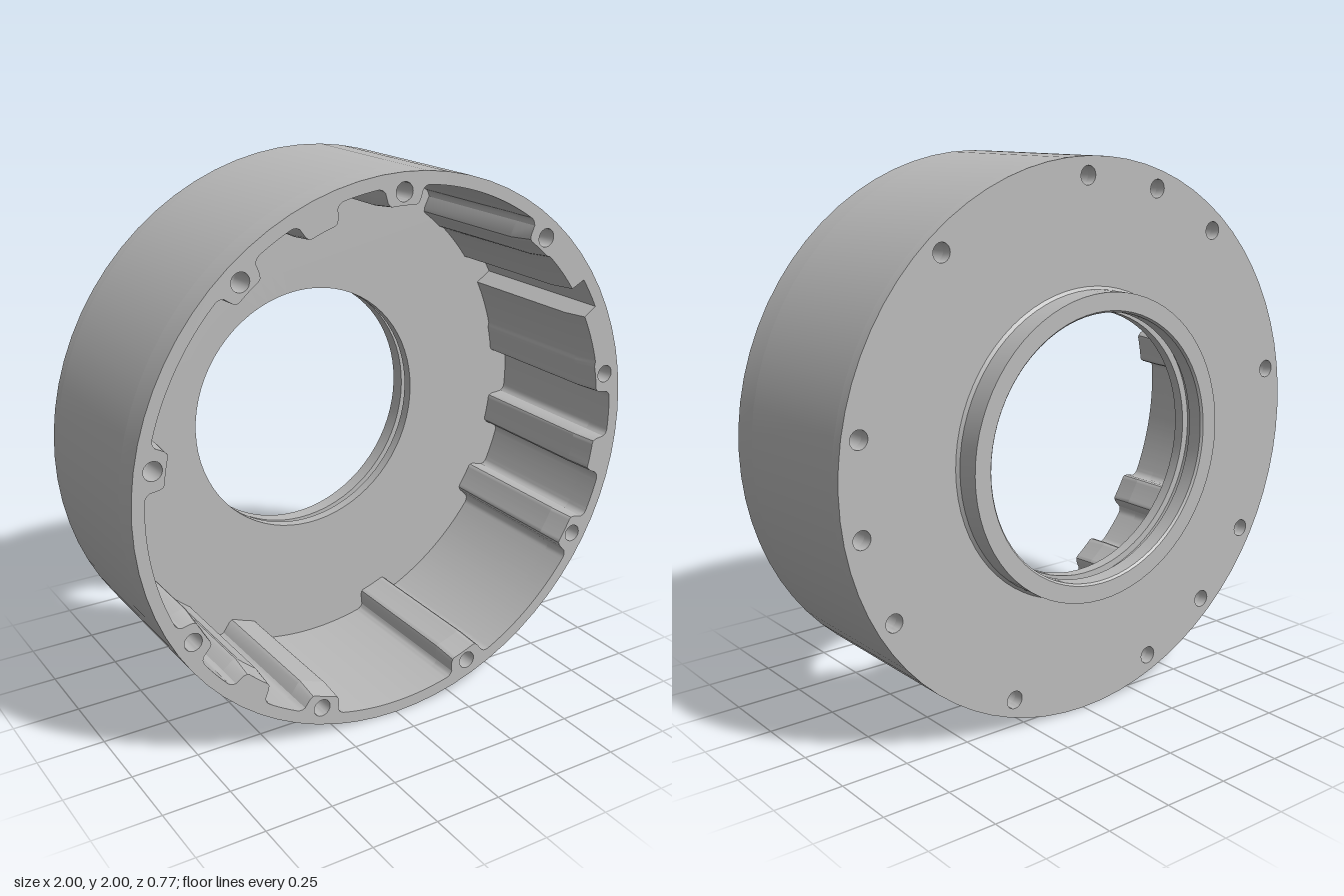
import * as THREE from 'three';
import { toCreasedNormals } from 'three/addons/utils/BufferGeometryUtils.js';

const RAD = Math.PI / 180;
const BACK = -0.29, FLOOR = -0.25, TAPER = 0.285, FRONT = 0.385;
const throughAngles = Array.from({ length: 9 }, (_, k) => 90 + 40 * k);
const blindAngles = [110, 230, 350];
const tabAngles = [...throughAngles, ...blindAngles];

const circle = (r, n, x = 0, y = 0) => Array.from({ length: n }, (_, i) => {
  const a = (i / n) * Math.PI * 2;
  return new THREE.Vector2(x + r * Math.cos(a), y + r * Math.sin(a));
});

const screwHoles = (angles) => angles.map((deg) =>
  circle(0.033, 20, 0.935 * Math.cos(deg * RAD), 0.935 * Math.sin(deg * RAD)));

// Inner wall radius at an angle: thin wall, filleted ribs, thick arc with a pocket
function innerRadius(deg) {
  let r = 0.955;
  if ((deg >= 10 && deg <= 26.5) || (deg >= 35 && deg <= 50)) r = 0.887;
  const steps = [[3, 0.88], [3.5, 0.883], [4, 0.895], [4.5, 0.94], [5, 0.949], [5.5, 0.953]];
  for (const tab of tabAngles) {
    const d = Math.abs(((deg - tab + 540) % 360) - 180);
    const step = steps.find(([limit]) => d <= limit + 0.01);
    if (step) r = Math.min(r, step[1]);
  }
  return r;
}

const innerContour = Array.from({ length: 720 }, (_, i) => {
  const deg = i / 2, r = innerRadius(deg);
  return new THREE.Vector2(r * Math.cos(deg * RAD), r * Math.sin(deg * RAD));
});

// Round slab between two depths, pierced by the given outlines
function slab(holes, z0, z1) {
  const shape = new THREE.Shape(circle(1, 72));
  holes.forEach((h) => shape.holes.push(new THREE.Path(h)));
  const geo = new THREE.ExtrudeGeometry(shape, { depth: z1 - z0, bevelEnabled: false });
  return geo.translate(0, 0, z0);
}

export function createModel() {
  const metal = new THREE.MeshStandardMaterial({ color: 0xbababa });
  metal.name = 'grey metal';
  const group = new THREE.Group();
  group.name = 'ringHousing';

  const add = (name, geo) => {
    const mesh = new THREE.Mesh(toCreasedNormals(geo, 0.5), metal);
    mesh.name = name;
    mesh.position.y = 1;
    group.add(mesh);
  };

  // Back plate with all screw holes
  add('backPlate', slab([circle(0.56, 72), ...screwHoles(tabAngles)], BACK, FLOOR));

  // Ribbed barrel wall
  add('barrelWall', slab([innerContour, ...screwHoles(tabAngles)], FLOOR, TAPER));

  // Front rim: rib tips lean outwards towards the opening, blind ribs are closed
  const rim = slab([innerContour, ...screwHoles(throughAngles)], TAPER, FRONT);
  const p = rim.attributes.position;
  for (let i = 0; i < p.count; i++) {
    const x = p.getX(i), y = p.getY(i);
    if (p.getZ(i) > FRONT - 0.01 && Math.hypot(x, y) < 0.9) p.setXY(i, x * 1.012, y * 1.012);
  }
  add('frontRim', rim);

  // Hub collar with a grooved bore
  const profile = [
    [0.55, -0.385], [0.55, -0.3], [0.56, -0.29], [0.56, FLOOR], [0.475, FLOOR],
    [0.475, -0.29], [0.5, -0.29], [0.5, -0.32], [0.48, -0.32], [0.48, -0.377],
    [0.487, -0.385], [0.55, -0.385],
  ].map(([r, z]) => new THREE.Vector2(r, z));
  add('hubCollar', new THREE.LatheGeometry(profile, 72).rotateX(Math.PI / 2));

  return group;
}
